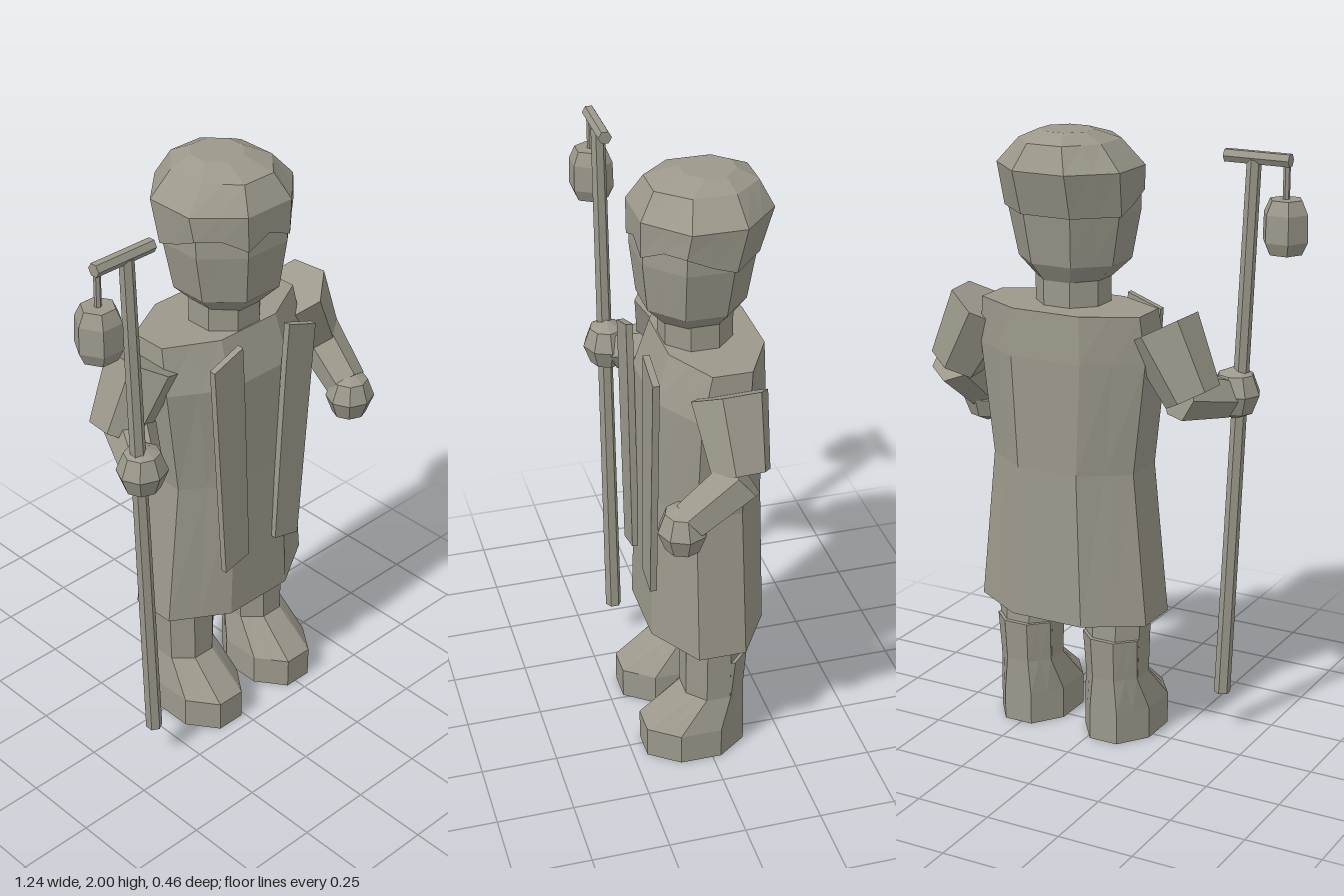
import * as THREE from 'three';

const stone = new THREE.MeshStandardMaterial({ color: 0x9c988b, flatShading: true });
stone.name = 'warm grey';

const MID = 0.1; // x of the figure's own centre line
const V = (x, y, z) => new THREE.Vector3(x, y, z);

function add(group, name, geometry) {
  const mesh = new THREE.Mesh(geometry, stone);
  mesh.name = name;
  group.add(mesh);
  return mesh;
}

// Octagonal loft through rings [y, centreX, halfWidth, zBack, zFront].
// Each side has a middle point, so a ring's edge can be made jagged with hem(k).
function loft(rings, hem) {
  const n = 16, pos = [], index = [];
  rings.forEach(([y, cx, hx, z0, z1], r) => {
    for (let k = 0; k < n; k++) {
      const a = (k * Math.PI) / 8, s = k % 2 ? 1 / Math.cos(Math.PI / 8) : 1;
      pos.push(cx + hx * s * Math.sin(a), r === 0 && hem ? hem(k) : y,
        (z0 + z1) / 2 + ((z1 - z0) / 2) * s * Math.cos(a));
    }
  });
  const last = (rings.length - 1) * n, bottom = pos.length / 3, top = bottom + 1;
  for (const [y, cx, , z0, z1] of [rings[0], rings[rings.length - 1]]) pos.push(cx, y, (z0 + z1) / 2);
  for (let k = 0; k < n; k++) {
    const j = (k + 1) % n;
    for (let b = 0; b < last; b += n) index.push(b + k, b + j, b + n + j, b + k, b + n + j, b + n + k);
    index.push(bottom, j, k, top, last + k, last + j);
  }
  const g = new THREE.BufferGeometry();
  g.setAttribute('position', new THREE.Float32BufferAttribute(pos, 3));
  g.setIndex(index);
  g.computeVertexNormals();
  return g;
}

// Tapered prism between two points
function limb(group, name, a, b, ra, rb, sides = 6) {
  const dir = b.clone().sub(a);
  const mesh = add(group, name, new THREE.CylinderGeometry(rb, ra, dir.length(), sides));
  mesh.position.copy(a).add(b).multiplyScalar(0.5);
  mesh.quaternion.setFromUnitVectors(V(0, 1, 0), dir.normalize());
  return mesh;
}

// Faceted fist
function hand(group, name, x, y, z) {
  const mesh = add(group, name, new THREE.SphereGeometry(1, 8, 4));
  mesh.scale.set(0.083, 0.088, 0.078);
  mesh.position.set(x, y, z);
}

export function createModel() {
  const model = new THREE.Group();
  model.name = 'lanternBearer';

  // Robe and neck
  add(model, 'robe', loft([
    [0.43, MID, 0.305, -0.21, 0.165],
    [0.934, MID, 0.255, -0.2, 0.155],
    [1.3, MID, 0.297, -0.205, 0.152],
    [1.453, MID, 0.283, -0.2, 0.1],
  ]));
  add(model, 'neck', loft([[1.4, MID + 0.005, 0.112, -0.12, 0.095], [1.56, MID + 0.005, 0.112, -0.12, 0.095]]));

  // Head, and a cap of hair with a jagged fringe
  add(model, 'head', loft([
    [1.517, 0.105, 0.095, -0.11, 0.09],
    [1.59, 0.105, 0.168, -0.155, 0.155],
    [1.75, 0.105, 0.198, -0.18, 0.172],
    [1.88, 0.105, 0.198, -0.18, 0.165],
  ]));
  const fringe = [1.81, 1.775, 1.81, 1.81, 1.775, 1.75, 1.75, 1.75, 1.75];
  add(model, 'hair', loft([
    [1.83, 0.105, 0.208, -0.188, 0.178],
    [1.89, 0.105, 0.217, -0.23, 0.178],
    [1.97, 0.105, 0.145, -0.19, 0.13],
    [2.0, 0.105, 0.08, -0.13, 0.03],
  ], (k) => fringe[Math.min(k, 16 - k)]));

  for (const s of [-1, 1]) {
    const side = s > 0 ? 'left' : 'right';
    const at = (dx) => MID + s * dx;

    // Hanging sash panel
    const outline = [[0.1, 1.453], [0.218, 1.41], [0.164, 0.626], [0.06, 0.652], [0.09, 1.3]];
    const panel = new THREE.Shape(outline.map(([x, y]) => new THREE.Vector2(at(x), y)));
    add(model, side + 'Sash', new THREE.ExtrudeGeometry(panel, { depth: 0.022, bevelEnabled: false }))
      .position.z = 0.156;

    // Leg and boot
    const lx = at(0.162);
    add(model, side + 'Leg', loft([
      [0.2, lx, 0.095, -0.12, 0.07], [0.36, lx, 0.1, -0.12, 0.07], [0.48, lx, 0.104, -0.115, 0.07],
    ]));
    add(model, side + 'Boot', loft([
      [0, lx, 0.12, -0.125, 0.205], [0.106, lx, 0.12, -0.125, 0.205],
      [0.223, lx, 0.095, -0.125, 0.07], [0.36, lx, 0.1, -0.135, 0.055],
    ]));

    // Upper arm
    limb(model, side + 'UpperArm', V(at(0.318), 1.406, -0.03), V(at(0.43), 1.2, -0.035), 0.122, 0.092);
  }

  // Forearms and hands
  limb(model, 'leftForearm', V(0.545, 1.2, -0.035), V(0.535, 1.07, 0.12), 0.08, 0.068);
  hand(model, 'leftHand', 0.53, 1.035, 0.145);
  limb(model, 'rightForearm', V(-0.28, 1.2, -0.035), V(-0.37, 1.165, 0.12), 0.085, 0.068);
  hand(model, 'rightHand', -0.39, 1.175, 0.148);

  // Staff with crossbar and hanging lantern
  limb(model, 'staff', V(-0.362, 0.135, 0.15), V(-0.436, 1.92, 0.15), 0.027, 0.023);
  limb(model, 'crossbar', V(-0.557, 1.926, 0.15), V(-0.34, 1.926, 0.15), 0.022, 0.022);
  limb(model, 'lanternHook', V(-0.545, 1.79, 0.15), V(-0.545, 1.92, 0.15), 0.011, 0.011);
  const profile = [[0, 1.64], [0.056, 1.64], [0.075, 1.68], [0.073, 1.765], [0.053, 1.808], [0, 1.808]];
  const lantern = add(model, 'lantern',
    new THREE.LatheGeometry(profile.map(([r, y]) => new THREE.Vector2(r, y)), 6, Math.PI / 2));
  lantern.position.set(-0.545, 0, 0.15);

  return model;
}
